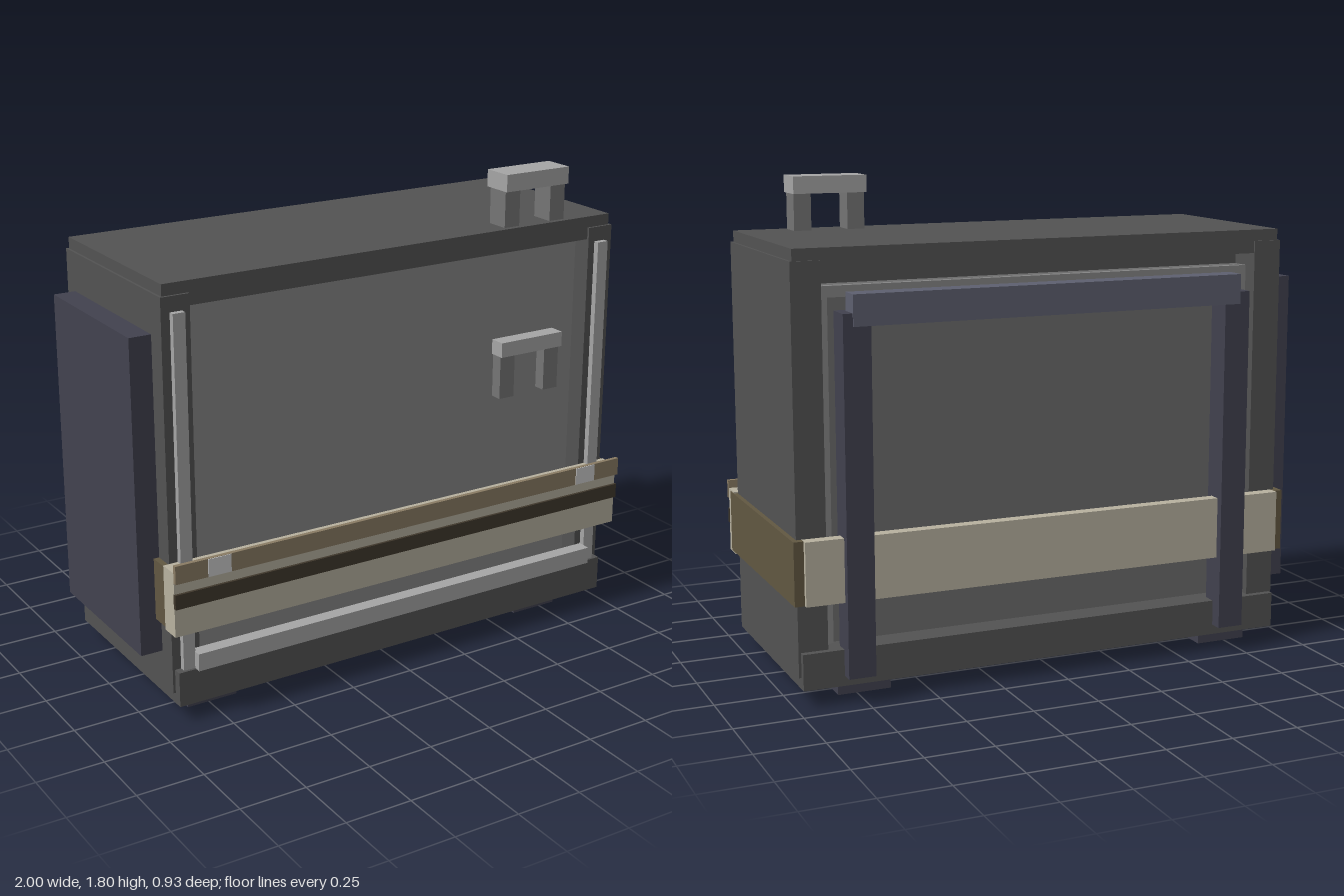
import * as THREE from 'three';

const COLORS = {
  dark: 0x535353, panel: 0x868686, inner: 0x6c6c6c, leg: 0x757575, rail: 0xa6a6a6, light: 0xcccccc,
  navy: 0x42424f, steel: 0x5e6070, beige: 0xb8b2a0, brown: 0x625842, tan: 0x8a7c64, slot: 0x40382c,
};
const materials = {};
for (const key in COLORS) {
  materials[key] = new THREE.MeshStandardMaterial({ color: COLORS[key], flatShading: true });
}

// Box given by its extents along each axis
function block(parent, name, mat, [x0, x1], [y0, y1], [z0, z1]) {
  const mesh = new THREE.Mesh(new THREE.BoxGeometry(x1 - x0, y1 - y0, z1 - z0), materials[mat]);
  mesh.position.set((x0 + x1) / 2, (y0 + y1) / 2, (z0 + z1) / 2);
  mesh.name = name;
  parent.add(mesh);
}

function group(parent, name) {
  const g = new THREE.Group();
  g.name = name;
  parent.add(g);
  return g;
}

// Two legs carrying a flat grip
function addHandle(parent, name, y0, y1, y2) {
  const g = group(parent, name);
  for (const x of [0.5, 0.706]) block(g, 'handleLeg', 'leg', [x, x + 0.066], [y0, y1], [0.245, 0.337]);
  block(g, 'handleGrip', 'rail', [0.494, 0.776], [y1, y2], [0.232, 0.352]);
}

export function createModel() {
  const model = new THREE.Group();
  model.name = 'cabinet';

  // Housing: feet, base, lid and side walls
  const body = group(model, 'housing');
  for (const x of [-0.835, 0.622]) block(body, 'foot', 'navy', [x, x + 0.198], [0, 0.065], [-0.325, 0.312]);
  block(body, 'base', 'dark', [-0.908, 0.972], [0.063, 0.195], [-0.412, 0.4]);
  block(body, 'lid', 'dark', [-0.908, 0.972], [1.51, 1.597], [-0.382, 0.358]);
  for (const x of [-0.917, 0.873]) block(body, 'sideWall', 'dark', [x, x + 0.108], [0.105, 1.555], [-0.388, 0.367]);

  // Recessed panels front and back
  block(body, 'core', 'dark', [-0.82, 0.88], [0.19, 1.52], [-0.25, 0.24]);
  block(body, 'frontPanel', 'panel', [-0.8, 0.873], [0.19, 1.51], [0.2, 0.29]);
  block(body, 'backPanel', 'inner', [-0.81, 0.873], [0.19, 1.46], [-0.31, -0.22]);

  // Trim rails on the front
  const trim = group(model, 'frontTrim');
  for (const x of [-0.884, 0.901]) block(trim, 'uprightRail', 'rail', [x, x + 0.046], [0.195, 1.5], [0.36, 0.39]);
  block(trim, 'bottomRail', 'rail', [-0.84, 0.901], [0.194, 0.26], [0.367, 0.42]);

  // Slim border around the back panel
  const border = group(model, 'backBorder');
  for (const x of [-0.81, 0.833]) block(border, 'borderUpright', 'panel', [x, x + 0.04], [0.195, 1.46], [-0.325, -0.3]);
  block(border, 'borderTop', 'panel', [-0.77, 0.833], [1.42, 1.46], [-0.325, -0.3]);

  addHandle(model, 'topHandle', 1.59, 1.733, 1.797);
  addHandle(model, 'frontHandle', 0.935, 1.103, 1.16);

  // Band wrapped round the housing
  const band = group(model, 'band');
  block(band, 'bandFront', 'beige', [-0.94, 0.995], [0.362, 0.605], [0.368, 0.445]);
  block(band, 'bandBack', 'beige', [-0.905, 0.962], [0.37, 0.6], [-0.432, -0.388]);
  block(band, 'bandLeft', 'brown', [0.96, 0.998], [0.37, 0.6], [-0.415, 0.41]);
  block(band, 'bandRight', 'brown', [-0.938, -0.9], [0.37, 0.6], [-0.415, 0.41]);
  block(band, 'bandLip', 'tan', [-0.94, 0.997], [0.567, 0.635], [0.444, 0.46]);
  block(band, 'bandStripe', 'slot', [-0.94, 0.997], [0.47, 0.525], [0.44, 0.455]);
  for (const x of [-0.815, 0.787]) block(band, 'bandClip', 'light', [x, x + 0.09], [0.568, 0.634], [0.45, 0.463]);

  // Plate on the right-hand side
  block(model, 'sidePlate', 'navy', [-1, -0.91], [0.24, 1.41], [-0.325, 0.29]);

  // Frame on the back: two posts and a crossbar
  const frame = group(model, 'backFrame');
  for (const x of [-0.748, 0.722]) block(frame, 'framePost', 'navy', [x, x + 0.1], [0.1, 1.38], [-0.46, -0.36]);
  block(frame, 'frameCrossbar', 'steel', [-0.707, 0.787], [1.335, 1.445], [-0.465, -0.385]);

  return model;
}
